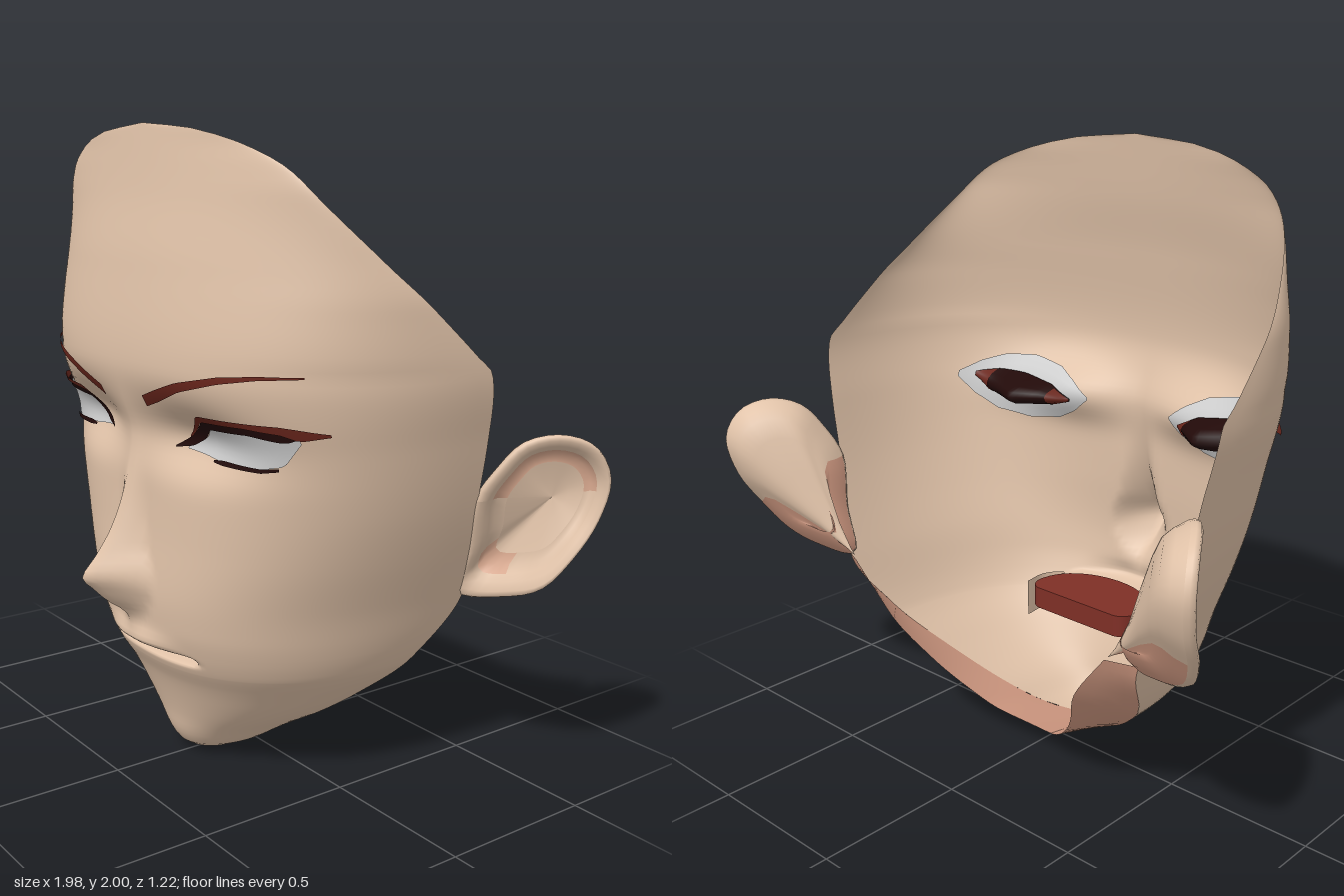
import * as THREE from 'three';

const mat = (name, color) => {
  const m = new THREE.MeshStandardMaterial({ color, side: THREE.DoubleSide });
  m.name = name;
  return m;
};

// Smooth monotone lookup through [key, value] pairs
function curve(p) {
  const s = p.slice(1).map((q, i) => (q[1] - p[i][1]) / (q[0] - p[i][0]));
  const m = p.map((_, i) => {
    if (i === 0) return s[0];
    if (i === p.length - 1) return s[i - 1];
    return s[i - 1] * s[i] <= 0 ? 0 : (2 * s[i - 1] * s[i]) / (s[i - 1] + s[i]);
  });
  return (v) => {
    if (v <= p[0][0]) return p[0][1];
    if (v >= p[p.length - 1][0]) return p[p.length - 1][1];
    let i = 0;
    while (v > p[i + 1][0]) i++;
    const h = p[i + 1][0] - p[i][0], t = (v - p[i][0]) / h, u = 1 - t;
    return u * u * (1 + 2 * t) * p[i][1] + t * u * u * h * m[i]
      + t * t * (3 - 2 * t) * p[i + 1][1] - t * t * u * h * m[i + 1];
  };
}
const linear = (rows, x, k) => {
  let i = 0;
  while (i < rows.length - 2 && x > rows[i + 1][0]) i++;
  return THREE.MathUtils.mapLinear(x, rows[i][0], rows[i + 1][0], rows[i][k], rows[i + 1][k]);
};

// Grid surface from a point rule at(i, j) -> [x, y, z]
function grid(rows, cols, at) {
  const pos = [], idx = [], n = cols + 1;
  for (let i = 0; i <= rows; i++) for (let j = 0; j <= cols; j++) pos.push(...at(i, j));
  for (let i = 0; i < rows; i++) for (let j = 0; j < cols; j++) {
    const a = i * n + j, b = a + n;
    idx.push(a, b, a + 1, a + 1, b, b + 1);
  }
  const g = new THREE.BufferGeometry();
  g.setAttribute('position', new THREE.Float32BufferAttribute(pos, 3));
  g.setIndex(idx);
  g.computeVertexNormals();
  return g;
}

// Face measures by height: half width, back edge, centre line, roundness
const width = curve([[0, 0], [0.01, 0.05], [0.03, 0.11], [0.1, 0.21], [0.17, 0.32], [0.25, 0.42], [0.38, 0.545], [0.6, 0.64],
  [0.9, 0.74], [1.1, 0.785], [1.31, 0.82], [1.5, 0.8], [1.63, 0.75], [1.8, 0.65], [1.87, 0.58], [1.93, 0.45], [1.98, 0.24], [2, 0]]);
const back = curve([[0, 0.16], [0.03, 0.09], [0.1, 0], [0.2, -0.09], [0.4, -0.25], [0.6, -0.36], [0.75, -0.335], [0.92, -0.3],
  [1.15, -0.285], [1.31, -0.26], [1.36, -0.205], [1.5, -0.05], [1.62, 0.08], [1.8, 0.24], [1.87, 0.28], [1.93, 0.32], [1.98, 0.36], [2, 0.37]]);
const front = curve([[0, 0.16], [0.03, 0.24], [0.09, 0.28], [0.15, 0.295], [0.24, 0.325], [0.31, 0.355], [0.36, 0.385], [0.43, 0.412],
  [0.5, 0.43], [0.6, 0.438], [0.8, 0.425], [0.9, 0.422], [1, 0.428], [1.1, 0.44], [1.2, 0.458], [1.31, 0.475],
  [1.6, 0.44], [1.8, 0.4], [2, 0.37]]);
const roundness = [[0, 2], [0.2, 2.15], [0.4, 2.35], [0.6, 2.5], [0.8, 2.65], [1.12, 2.7], [1.31, 2.6]];
const roundX = curve([...roundness, [1.6, 2.4], [2, 2]]);
const roundZ = curve([...roundness, [1.6, 1.8], [2, 1]]);
const noseHeight = curve([[0.46, 0], [0.52, 0.025], [0.57, 0.085], [0.62, 0.135], [0.66, 0.172], [0.72, 0.13], [0.8, 0.08], [0.9, 0.04], [1, 0.012], [1.1, 0]]);
const noseWidth = curve([[0.46, 0.06], [0.52, 0.07], [0.57, 0.1], [0.63, 0.125], [0.68, 0.115], [0.75, 0.085], [0.9, 0.065], [1.1, 0.07]]);
const bell = (v) => Math.exp(-v * v);

// Depth of the face surface at x, y
function depth(x, y) {
  const a = Math.abs(x), w = width(y);
  const X = w > 0 ? Math.min(1, a / w) : 0;
  let z = back(y) + (front(y) - back(y)) * Math.pow(Math.max(0, 1 - Math.pow(X, roundX(y))), 1 / roundZ(y));
  z += noseHeight(y) * Math.pow(Math.max(0, 1 - a / noseWidth(y)), 1.15);
  z -= 0.085 * bell((a - 0.28) / 0.23) * bell((y - 1.1) / 0.095);
  z += 0.03 * bell((y - 0.445) / 0.03) * (1 - THREE.MathUtils.smoothstep(a, 0.03, 0.24));
  z -= 0.075 * bell((y - 0.407) / 0.011) * (1 - THREE.MathUtils.smoothstep(a, 0.2, 0.26));
  return z;
}

// Thin patch laid over the face; rows are [x, low y, high y]
function patch(rows, offset, side) {
  const n = 28, x0 = rows[0][0], x1 = rows[rows.length - 1][0];
  return grid(n, 6, (i, j) => {
    const x = x0 + ((x1 - x0) * i) / n, s = j / 6;
    const y = THREE.MathUtils.lerp(linear(rows, x, 1), linear(rows, x, 2), s);
    return [x * side, y, depth(x, y) + offset(x, s)];
  });
}

export function createModel() {
  const root = new THREE.Group();
  root.name = 'faceMask';
  const skin = mat('skin', 0xe0c2a8), blush = mat('blushSkin', 0xd49c84), earTint = mat('earTint', 0xd9a98f);
  const white = mat('eyeWhite', 0xcccccc), dark = mat('darkLash', 0x220a09), red = mat('browRed', 0x6a261c);
  const mouthRed = mat('mouthRed', 0x7e2f26);
  const add = (name, geo, m) => {
    const mesh = new THREE.Mesh(geo, m);
    mesh.name = name;
    root.add(mesh);
  };

  // Face shell, with finer rows at the mouth and the two ends
  const ys = [0.003, 0.007, 0.012, 1.99, 1.995];
  for (let i = 0; i <= 100; i++) ys.push(i * 0.02);
  for (let i = 73; i < 90; i++) if (i % 4) ys.push(i * 0.005);
  ys.sort((a, b) => a - b);
  const C = 48;
  add('faceShell', grid(ys.length - 1, 2 * C, (i, j) => {
    const x = width(ys[i]) * Math.sin(((j - C) / C) * Math.PI / 2);
    return [x, ys[i], depth(x, ys[i])];
  }), skin);

  // Under-jaw strip between the jaw crease and the open rim
  const keys = [0, 0.06, 0.13, 0.22, 0.4, 0.6];
  const rim = [[0, 0.12, 0.22, 0.31, 0.42, 0.55], [0.08, 0.1, 0.17, 0.27, 0.45, 0.61], [-0.13, -0.155, -0.21, -0.28, -0.38, -0.405]]
    .map((v) => curve(v.map((q, i) => [keys[i], q])));
  const R = 30;
  add('underJaw', grid(2 * R, 4, (i, j) => {
    const k = (i - R) / R, y = 0.6 * k * k, s = Math.sign(k);
    const a = [s * width(y), y, back(y)], b = [s * rim[0](y), rim[1](y), rim[2](y)];
    return a.map((v, q) => THREE.MathUtils.lerp(v, b[q], j / 4));
  }), blush);

  // Ear: loops of one outline, scaled about a centre, shifted along the ear normal, pulled to the jaw
  const outline = new THREE.CatmullRomCurve3([
    [0.735, 0.92, -0.295], [0.785, 1.02, -0.33], [0.835, 1.1, -0.385], [0.905, 1.125, -0.465], [0.96, 1.09, -0.55], [0.985, 1, -0.595],
    [0.97, 0.87, -0.57], [0.935, 0.75, -0.5], [0.875, 0.655, -0.44], [0.77, 0.612, -0.4], [0.63, 0.6, -0.345], [0.685, 0.75, -0.325],
  ].map((p) => new THREE.Vector3(...p)), true);
  const loop = outline.getSpacedPoints(48);
  const centre = new THREE.Vector3(0.895, 0.925, -0.47), normal = new THREE.Vector3(0.83, 0, 0.55);
  const jawJoint = new THREE.Vector3(0.56, 0.62, -0.4);
  const earPart = (rings, side, from = 0, to = 48) => grid(rings.length - 1, to - from, (i, j) => {
    const [scale, shift, pull = 0] = rings[i];
    const p = loop[from + j].clone().sub(centre).multiplyScalar(scale).add(centre).addScaledVector(normal, shift).lerp(jawJoint, pull);
    return [p.x * side, p.y, p.z];
  });
  const fold = [[0.76, -0.015], [0.68, -0.035], [0.56, -0.037]];
  const earBack = [[0.98, -0.02], [0.88, -0.055], [0.75, -0.085], [0.66, -0.095, 0.1], [0.6, -0.09, 0.35], [0.5, -0.06, 0.65], [0.4, -0.02, 0.9], [0.3, 0, 1]];

  const flat = (v) => () => v;
  for (const side of [1, -1]) {
    const tag = side > 0 ? 'left' : 'right';
    add(tag + 'EarRim', earPart([[0.98, -0.02], [1, -0.005], [0.98, 0.008], [0.92, 0.012], [0.83, 0], [0.76, -0.015]], side), skin);
    add(tag + 'EarFoldTop', earPart(fold, side, 0, 18), earTint);
    add(tag + 'EarFoldBack', earPart(fold, side, 18, 34), skin);
    add(tag + 'EarFoldLow', earPart(fold, side, 34, 40), earTint);
    add(tag + 'EarFoldFront', earPart(fold, side, 40, 48), skin);
    add(tag + 'EarBowl', earPart([[0.56, -0.037], [0.3, -0.05], [0, -0.055]], side), skin);
    add(tag + 'EarBackUpper', earPart(earBack, side, 0, 25), skin);
    add(tag + 'EarBackLower', earPart(earBack, side, 25, 48), blush);

    // Brow
    add(tag + 'Brow', patch([[0.12, 1.188, 1.222], [0.2, 1.215, 1.25], [0.3, 1.255, 1.283], [0.45, 1.295, 1.315], [0.56, 1.315, 1.326], [0.66, 1.323, 1.328]],
      flat(0.009), side), red);

    // Eye front and lashes
    add(tag + 'EyeWhite', patch([[0.22, 1.07, 1.075], [0.3, 1.062, 1.115], [0.34, 1.056, 1.15], [0.5, 1.052, 1.16], [0.58, 1.07, 1.165], [0.63, 1.14, 1.165]],
      flat(0.008), side), white);
    add(tag + 'UpperLash', patch([[0.18, 1.07, 1.075], [0.24, 1.08, 1.11], [0.3, 1.112, 1.15], [0.34, 1.145, 1.175], [0.5, 1.153, 1.178], [0.6, 1.14, 1.176], [0.64, 1.158, 1.172]],
      flat(0.014), side), dark);
    add(tag + 'LidLine', patch([[0.24, 1.107, 1.113], [0.33, 1.168, 1.188], [0.5, 1.174, 1.19], [0.6, 1.166, 1.19], [0.64, 1.15, 1.185], [0.7, 1.165, 1.173]],
      (x) => 0.018 + 0.015 * Math.pow(x / 0.7, 6), side), red);
    add(tag + 'LowerLash', patch([[0.34, 1.05, 1.056], [0.38, 1.046, 1.06], [0.52, 1.046, 1.058], [0.57, 1.056, 1.064]], flat(0.014), side), dark);

    // Eye seen from inside the shell
    add(tag + 'EyeBacking', patch([[0.18, 1.085, 1.095], [0.24, 1.035, 1.14], [0.32, 0.995, 1.18], [0.44, 0.98, 1.205], [0.55, 1.005, 1.2], [0.62, 1.06, 1.175], [0.67, 1.12, 1.14]],
      flat(-0.012), side), white);
    const hollow = [[0.24, 1.075, 1.085], [0.32, 1.05, 1.125], [0.45, 1.04, 1.145], [0.55, 1.065, 1.15], [0.62, 1.125, 1.14]];
    const bulge = (lift) => (x, s) => lift
      - 0.13 * Math.max(0, Math.min((x - 0.24) / 0.16, (0.62 - x) / 0.22)) * Math.sqrt(Math.max(0, Math.sin(Math.PI * s)));
    add(tag + 'EyeHollow', patch(hollow, bulge(-0.02), side), dark);
    for (const [part, x0, x1] of [['Inner', 0.24, 0.3], ['Outer', 0.555, 0.62]]) {
      add(tag + part + 'EyeCorner', patch([x0, x1].map((x) => [x, linear(hollow, x, 1), linear(hollow, x, 2)]), bulge(-0.027), side), red);
    }
  }

  // Mouth cavity behind the lips, and the skin band below and around it
  const cavity = new THREE.Shape();
  cavity.moveTo(-0.17, 0.09);
  cavity.lineTo(0.17, 0.09);
  cavity.quadraticCurveTo(0.22, 0.1, 0.22, 0.16);
  cavity.bezierCurveTo(0.21, 0.38, -0.21, 0.38, -0.22, 0.16);
  cavity.quadraticCurveTo(-0.22, 0.1, -0.17, 0.09);
  const bag = new THREE.ExtrudeGeometry(cavity, { depth: 0.075, bevelEnabled: false, curveSegments: 16 });
  bag.rotateX(Math.PI / 2);
  bag.translate(0, 0.46, 0);
  add('mouthCavity', bag, mouthRed);
  const band = new THREE.CatmullRomCurve3([[-0.24, 0.11], [-0.245, 0.2], [-0.19, 0.27], [0, 0.325], [0.19, 0.27], [0.245, 0.2], [0.24, 0.11]]
    .map(([x, z]) => new THREE.Vector3(x, 0, z))).getPoints(36);
  add('innerLip', grid(36, 1, (i, j) => [band[i].x, 0.33 + j * (Math.abs(band[i].x) > 0.2 ? 0.13 : 0.055), band[i].z]), skin);
  return root;
}
